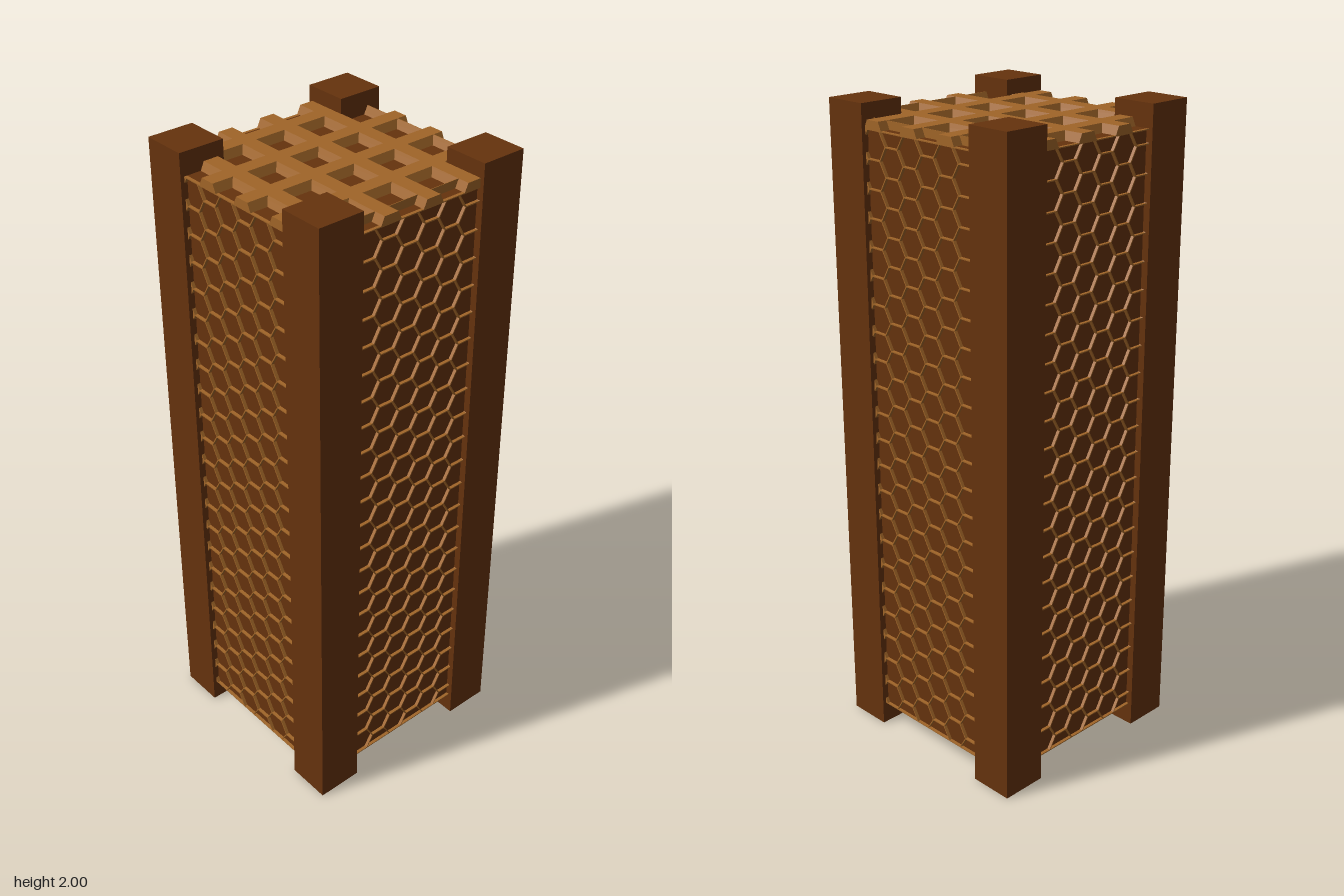
import * as THREE from 'three';

const dark = new THREE.MeshStandardMaterial({ color: 0x66330d, flatShading: true });
const tan = new THREE.MeshStandardMaterial({ color: 0xa06528, flatShading: true });

const CORE = 0.333, FACE = 0.343;       // half widths of core and lattice
const BOTTOM = 0.07, CORE_TOP = 1.93, GRID_TOP = 1.955;
const PITCH = 0.0735, R = PITCH / 1.5, ROW = R * Math.sqrt(3);

function box(name, w, h, d, x, y, z, parent) {
  const mesh = new THREE.Mesh(new THREE.BoxGeometry(w, h, d), dark);
  mesh.name = name;
  mesh.position.set(x, y, z);
  parent.add(mesh);
}

function polygon(Type, points) {
  return new Type(points.map(([x, y]) => new THREE.Vector2(x, y)));
}

// Thin-walled honeycomb sheet; cells at the upper and lower rim are halved
function honeycombGeometry() {
  const left = -0.3, right = 0.3;
  const sheet = polygon(THREE.Shape, [[left, BOTTOM], [right, BOTTOM], [right, CORE_TOP], [left, CORE_TOP]]);
  const low = BOTTOM + 0.003, high = CORE_TOP - 0.003;
  const rows = 22, row = (CORE_TOP - BOTTOM) / rows;
  const r = R - 0.002, half = row / 2 - 0.0017;
  for (let c = -3; c <= 3; c++) {
    const odd = Math.abs(c) % 2;
    const cx = -0.035 + c * PITCH;
    for (let i = 0; i < rows + odd; i++) {
      const cy = BOTTOM + (i + (odd ? 0 : 0.5)) * row;
      const y0 = Math.max(low, cy - half), y1 = Math.min(high, cy + half);
      const ym = Math.min(high, Math.max(low, cy));
      const pts = [[cx - r / 2, y0], [cx + r / 2, y0]];
      if (ym > y0 && ym < y1) pts.push([cx + r, ym], [cx + r / 2, y1], [cx - r / 2, y1], [cx - r, ym]);
      else if (ym === y0) pts.splice(0, 2, [cx - r, y0], [cx + r, y0], [cx + r / 2, y1], [cx - r / 2, y1]);
      else pts.push([cx + r, y1], [cx - r, y1]);
      sheet.holes.push(polygon(THREE.Path, pts.reverse()));
    }
  }
  return new THREE.ExtrudeGeometry(sheet, { depth: FACE - CORE, bevelEnabled: false });
}

// Bevelled bar running along z, with its own profile in x and y
function barGeometry(profile) {
  const g = new THREE.ExtrudeGeometry(polygon(THREE.Shape, profile), { depth: 2 * FACE, bevelEnabled: false });
  return g.translate(0, 0, -FACE);
}

export function createModel() {
  const model = new THREE.Group();
  model.name = 'latticePillar';

  box('core', 2 * CORE, CORE_TOP - BOTTOM, 2 * CORE, 0, (CORE_TOP + BOTTOM) / 2, 0, model);

  // Corner posts
  for (const x of [-1, 1]) {
    for (const z of [-1, 1]) {
      box('cornerPost', 0.145, 2, 0.14, x * 0.2825, 1, z * 0.285, model);
    }
  }

  // Honeycomb on the four sides
  const honeycomb = honeycombGeometry();
  for (let i = 0; i < 4; i++) {
    const side = new THREE.Group();
    side.name = 'honeycombSide';
    const panel = new THREE.Mesh(honeycomb, tan);
    panel.name = 'honeycombPanel';
    panel.position.z = CORE;
    side.add(panel);
    side.rotation.y = i * Math.PI / 2;
    model.add(side);
  }

  // Crossing bevelled bars on top, closed by a thin ridge at one end
  const h = GRID_TOP - CORE_TOP;
  const bar = barGeometry([[-0.035, 0], [0.035, 0], [0.0235, h], [-0.0235, h]]);
  const ridge = barGeometry([[-0.012, 0], [0.002, 0], [0.002, h], [0, h]]);
  const lattice = new THREE.Group();
  lattice.name = 'topLattice';
  lattice.position.y = CORE_TOP;
  function addBar(geometry, name, offset, across) {
    const mesh = new THREE.Mesh(geometry, tan);
    mesh.name = name;
    if (across) {
      mesh.rotation.y = -Math.PI / 2;
      mesh.position.z = offset;
    } else mesh.position.x = offset;
    lattice.add(mesh);
  }
  for (let i = 0; i < 4; i++) {
    addBar(bar, 'latticeBar', -0.253 + i * 0.147, false);
    addBar(bar, 'latticeCrossBar', -0.258 + i * 0.147, true);
  }
  addBar(ridge, 'latticeRidge', 0.31, false);
  addBar(ridge, 'latticeCrossRidge', 0.305, true);
  model.add(lattice);

  return model;
}
